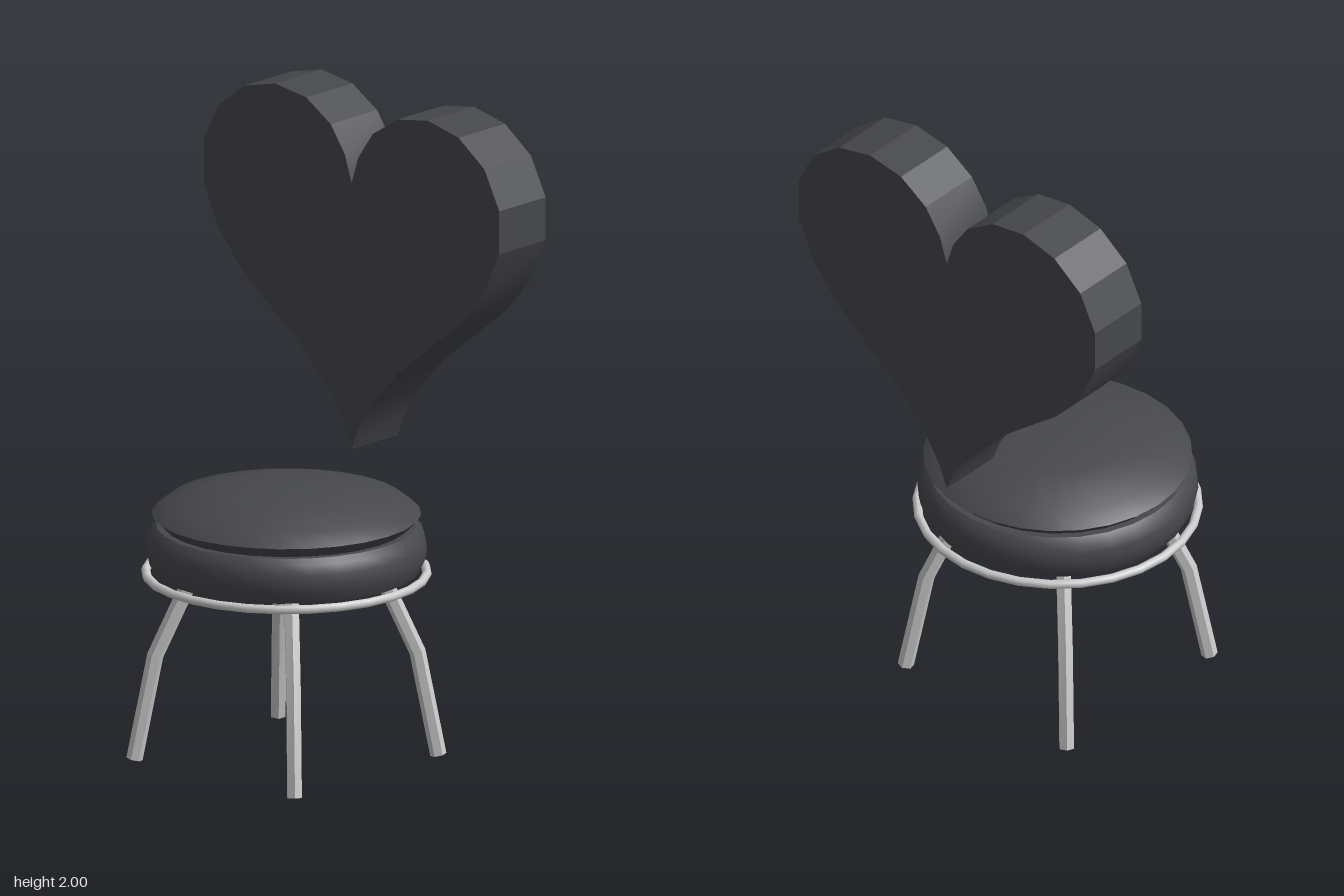
import * as THREE from 'three';
import { toCreasedNormals } from 'three/addons/utils/BufferGeometryUtils.js';

const SEAT_Z = 0.03;
const SIDES = 28;

export function createModel() {
  const model = new THREE.Group();
  const padding = new THREE.MeshStandardMaterial({ color: 0x47484c });
  const metal = new THREE.MeshStandardMaterial({ color: 0xcccccc });

  const add = (name, geometry, material, z = 0) => {
    const mesh = new THREE.Mesh(geometry, material);
    mesh.name = name;
    mesh.position.z = z;
    model.add(mesh);
    return mesh;
  };
  const v2 = (p) => new THREE.Vector2(p[0], p[1]);
  const turned = (points) =>
    toCreasedNormals(new THREE.LatheGeometry(points.map(v2), SIDES), 0.7);

  // Round cushions, profiles running from bottom centre to top centre
  add('lowerCushion', turned([
    [0, 0.6], [0.405, 0.6], [0.42, 0.63], [0.426, 0.66], [0.423, 0.69],
    [0.413, 0.72], [0.395, 0.738], [0, 0.738],
  ]), padding, SEAT_Z);
  add('upperCushion', turned([
    [0, 0.735], [0.37, 0.735], [0.408, 0.772], [0.36, 0.81],
    [0.21, 0.847], [0.1, 0.856], [0, 0.86],
  ]), padding, SEAT_Z);

  // Metal hoop under the seat
  const hoop = new THREE.TorusGeometry(0.426, 0.014, 8, SIDES);
  hoop.rotateX(Math.PI / 2);
  add('seatRing', hoop, metal, SEAT_Z).position.y = 0.587;

  // Four bent legs on the diagonals: rings of a hexagon swept through three points
  const path = [[0.46, 0.006], [0.397, 0.33], [0.275, 0.6]];
  const tilt = [0.19, 0.3, 0.42];
  const radius = 0.025, n = 6;
  const positions = [], index = [];
  path.forEach(([r, y], k) => {
    for (let i = 0; i < n; i++) {
      const a = (i / n) * Math.PI * 2;
      const c = Math.cos(a) * radius;
      positions.push(r + c * Math.cos(tilt[k]), y + c * Math.sin(tilt[k]), Math.sin(a) * radius);
    }
  });
  for (let k = 0; k < path.length - 1; k++) {
    for (let i = 0; i < n; i++) {
      const a = k * n + i, b = k * n + ((i + 1) % n);
      index.push(a, a + n, b, b, a + n, b + n);
    }
  }
  const top = (path.length - 1) * n;
  for (let i = 1; i < n - 1; i++) {
    index.push(0, i, i + 1, top, top + i + 1, top + i);
  }
  const legShape = new THREE.BufferGeometry();
  legShape.setAttribute('position', new THREE.Float32BufferAttribute(positions, 3));
  legShape.setIndex(index);
  const legGeometry = toCreasedNormals(legShape, 0.5);
  ['frontLeftLeg', 'frontRightLeg', 'backRightLeg', 'backLeftLeg'].forEach((name, i) => {
    add(name, legGeometry, metal, SEAT_Z).rotation.y = -Math.PI / 4 - (i * Math.PI) / 2;
  });

  // Heart-shaped backrest: one half outline, mirrored
  const half = [
    [0, 0.91], [0.03, 0.985], [0.085, 1.07], [0.185, 1.18], [0.315, 1.285],
    [0.44, 1.385], [0.54, 1.5], [0.6, 1.635], [0.6, 1.77], [0.54, 1.89],
    [0.435, 1.97], [0.31, 2], [0.185, 1.98], [0.085, 1.915], [0.027, 1.83], [0, 1.745],
  ];
  const mirrored = half.slice(1, -1).reverse().map(([x, y]) => [-x, y]);
  const heart = new THREE.ExtrudeGeometry(
    new THREE.Shape([...half, ...mirrored].map(v2)),
    { depth: 0.21, bevelEnabled: false },
  );
  add('heartBackrest', toCreasedNormals(heart, 0.3), padding, -0.475);

  return model;
}
